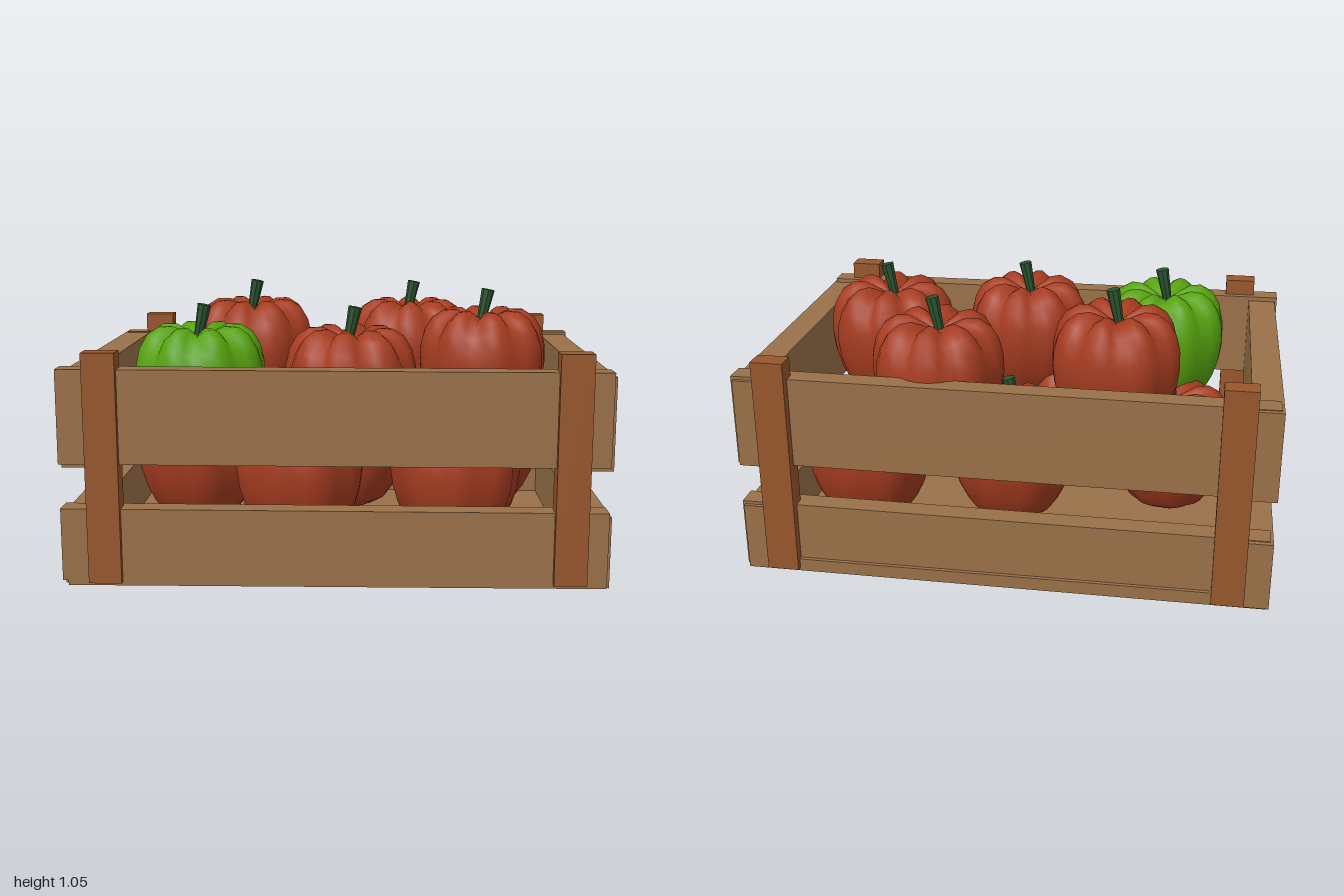
import * as THREE from 'three';
import { mergeVertices } from 'three/addons/utils/BufferGeometryUtils.js';

const mat = (color, extra = {}) => new THREE.MeshStandardMaterial({ color, ...extra });
const wood = mat(0x9a7149, { flatShading: true });
const postWood = mat(0x98572d, { flatShading: true });
const red = mat(0xa63c20);
const green = mat(0x57a30f);
const stemGreen = mat(0x2b5430, { flatShading: true });

// Box given by its limits on each axis
function board(name, material, [x0, x1], [y0, y1], [z0, z1], tilt = 0) {
  const mesh = new THREE.Mesh(new THREE.BoxGeometry(x1 - x0, y1 - y0, z1 - z0), material);
  mesh.position.set((x0 + x1) / 2, (y0 + y1) / 2, (z0 + z1) / 2);
  mesh.rotation.z = tilt;
  mesh.name = name;
  return mesh;
}

// Lobed pepper body: a lathe whose grooves deepen towards the crown
function pepperGeometry() {
  const outline = [
    [0, 0.03], [0.06, 0.015], [0.11, 0], [0.155, 0.025], [0.19, 0.075], [0.222, 0.14],
    [0.243, 0.21], [0.252, 0.28], [0.25, 0.345], [0.235, 0.41], [0.205, 0.46],
    [0.16, 0.488], [0.11, 0.49], [0.065, 0.47], [0.03, 0.45], [0, 0.44],
  ].map(([r, y]) => new THREE.Vector2(r, y));
  let geo = new THREE.LatheGeometry(outline, 40);
  const p = geo.attributes.position;
  for (let i = 0; i < p.count; i++) {
    const x = p.getX(i), y = p.getY(i), z = p.getZ(i);
    const r = Math.hypot(x, z);
    const groove = 1 - Math.abs(Math.sin(4 * Math.atan2(z, x)));
    const crown = THREE.MathUtils.smoothstep(y, 0.3, 0.47);
    const k = 1 - groove * (0.06 + 0.06 * crown);
    p.setXYZ(i, x * k, y - groove * crown * 0.035 * Math.min(1, r / 0.1), z * k);
  }
  geo.deleteAttribute('normal');
  geo.deleteAttribute('uv');
  geo = mergeVertices(geo, 1e-4);
  geo.computeVertexNormals();
  return geo;
}

// Stem flares upwards and leans towards +x
function stemGeometry() {
  const geo = new THREE.CylinderGeometry(0.026, 0.018, 0.125, 8);
  geo.rotateZ(-0.2);
  geo.translate(0.005, 0.505, 0);
  return geo;
}

export function createModel() {
  const model = new THREE.Group();

  // Crate
  const crate = new THREE.Group();
  crate.name = 'crate';
  crate.add(board('floor', wood, [-0.98, 0.98], [0, 0.05], [-0.66, 0.66]));
  for (const [level, y0, y1] of [['lower', 0.015, 0.28], ['upper', 0.45, 0.79]]) {
    crate.add(
      board(level + 'FrontPlank', wood, [-1, 0.98], [y0, y1 + 0.005], [0.575, 0.66], -0.003),
      board(level + 'BackPlank', wood, [-0.98, 1], [y0 - 0.01, y1 - 0.005], [-0.645, -0.56], 0.002),
      board(level + 'LeftPlank', wood, [0.885, 0.99], [y0 - 0.015, y1 - 0.015], [-0.66, 0.65]),
      board(level + 'RightPlank', wood, [-0.99, -0.88], [y0 - 0.01, y1 - 0.01], [-0.665, 0.65]),
    );
  }
  for (const x of [-0.84, 0.845]) {
    for (const z of [-0.643, 0.643]) {
      crate.add(board('cornerPost', postWood, [x - 0.06, x + 0.06], [0.015, 0.86], [z - 0.04, z + 0.04]));
    }
  }
  model.add(crate);

  // Peppers: x, base height, z
  const body = pepperGeometry();
  const stem = stemGeometry();
  const spots = [
    [-0.53, 0.425, 0.28, green],
    [-0.37, 0.48, -0.2], [0.045, 0.42, 0.31], [0.29, 0.465, -0.35], [0.57, 0.465, 0.05],
    [-0.58, 0.09, 0.01], [-0.15, 0.09, 0.3], [0.03, 0.1, -0.2], [0.6, 0.09, -0.27], [0.45, 0.09, 0.3],
  ];
  spots.forEach(([x, y, z, skin = red], i) => {
    const pepper = new THREE.Group();
    pepper.name = skin === green ? 'greenPepper' : 'redPepper';
    const flesh = new THREE.Mesh(body, skin);
    flesh.name = 'pepperBody';
    flesh.rotation.y = i * 0.13;
    const stalk = new THREE.Mesh(stem, stemGreen);
    stalk.name = 'pepperStem';
    pepper.add(flesh, stalk);
    pepper.position.set(x, y, z);
    model.add(pepper);
  });

  return model;
}
